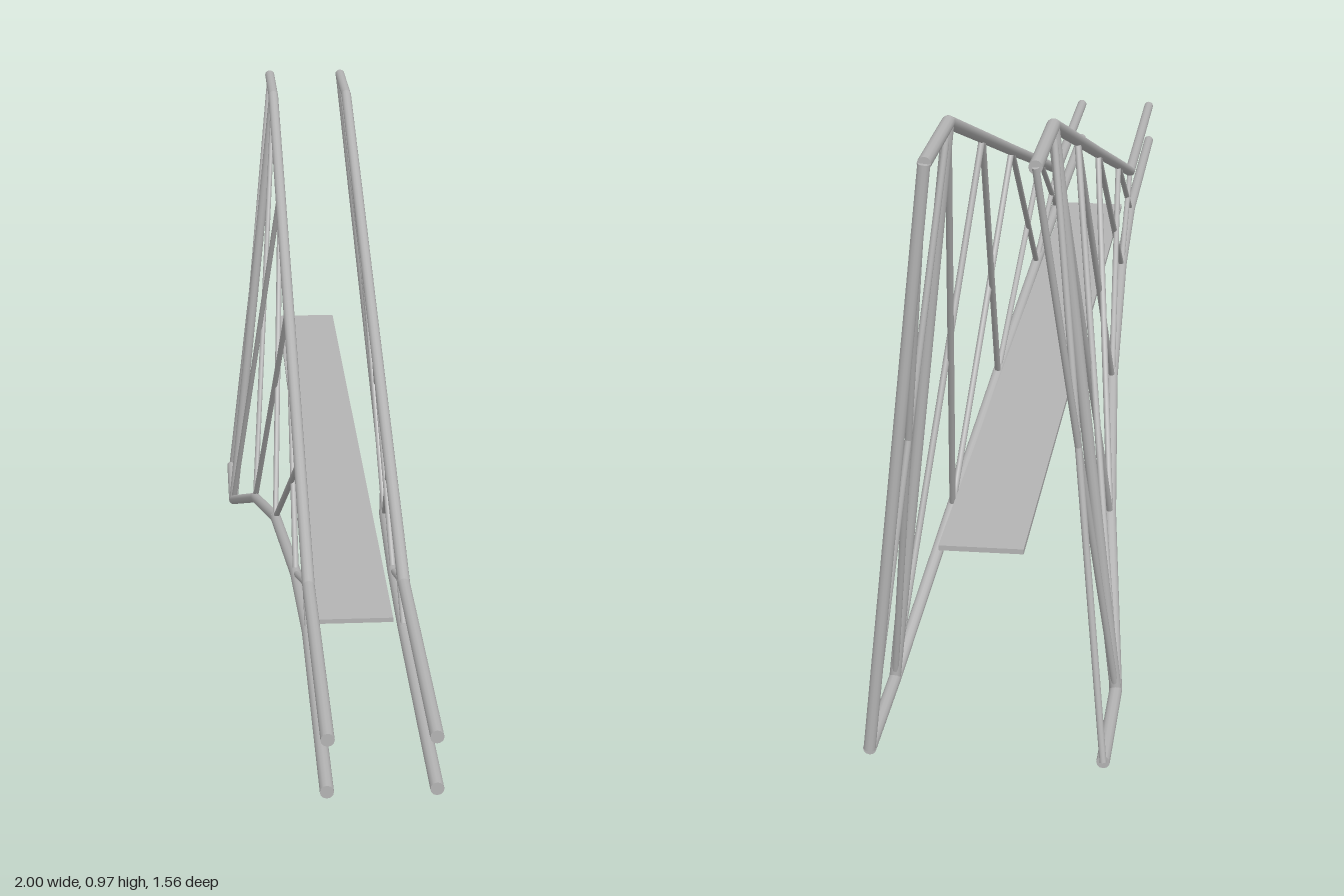
import * as THREE from 'three';

const UP = new THREE.Vector3(0, 1, 0);
const CHORD = 0.0105, POST = 0.0095, BRACE = 0.0055;

export function createModel() {
  const steel = new THREE.MeshStandardMaterial({ color: 0xb4b4b4 });
  steel.name = 'light grey steel';

  const model = new THREE.Group();
  model.name = 'trussGangway';
  const frame = new THREE.Group(); // x runs along the deck, z across it
  frame.name = 'gangwayFrame';
  frame.rotation.y = -Math.PI / 5;
  model.add(frame);

  // straight round tube between two points
  function rod(name, a, b, radius, parent) {
    const dir = b.clone().sub(a);
    const mesh = new THREE.Mesh(new THREE.CylinderGeometry(radius, radius, dir.length(), 12), steel);
    mesh.name = name;
    mesh.position.copy(a).lerp(b, 0.5);
    mesh.quaternion.setFromUnitVectors(UP, dir.normalize());
    parent.add(mesh);
  }

  // run of tubes with rounded joints
  function chord(name, points, parent) {
    for (let i = 0; i < points.length - 1; i++) {
      rod(name, points[i], points[i + 1], CHORD, parent);
      if (i === 0) continue;
      const joint = new THREE.Mesh(new THREE.SphereGeometry(CHORD, 12, 8), steel);
      joint.name = name + 'Joint';
      joint.position.copy(points[i]);
      parent.add(joint);
    }
  }

  // stations along the deck: position, top height, bottom height
  const stations = [
    [-1.083, 0.96, 0.0105],
    [-0.858, 0.96, 0.0105],
    [-0.498, 0.836, 0.158],
    [-0.122, 0.706, 0.265],
    [0.325, 0.553, 0.337],
    [0.632, 0.447, 0.362],
    [1.183, 0.447, 0.362],
  ];
  const centreZ = 0.014;

  for (const side of [1, -1]) {
    const truss = new THREE.Group();
    truss.name = side > 0 ? 'nearTruss' : 'farTruss';
    frame.add(truss);

    // the lower chord splays outward as it drops
    const top = stations.map(([x, y]) => new THREE.Vector3(x, y, centreZ + side * 0.08));
    const bottom = stations.map(([x, , y]) =>
      new THREE.Vector3(x, y, centreZ + side * (0.182 - 0.287 * (y - 0.0105))));

    chord('topChord', top, truss);
    chord('bottomChord', bottom, truss);
    rod('towerPost', top[1], bottom[1], POST, truss);
    if (side < 0) rod('endPost', top[0], bottom[0], POST, truss);

    // crossed braces in every bay
    for (let i = 0; i < 5; i++) {
      rod('brace', top[i], bottom[i + 1], BRACE, truss);
      rod('brace', bottom[i], top[i + 1], BRACE, truss);
    }
  }

  // flat walkway plate
  const deck = new THREE.Mesh(new THREE.BoxGeometry(1.724, 0.008, 0.128), steel);
  deck.name = 'deck';
  deck.position.set(-0.248, 0.373, centreZ);
  frame.add(deck);
  return model;
}
